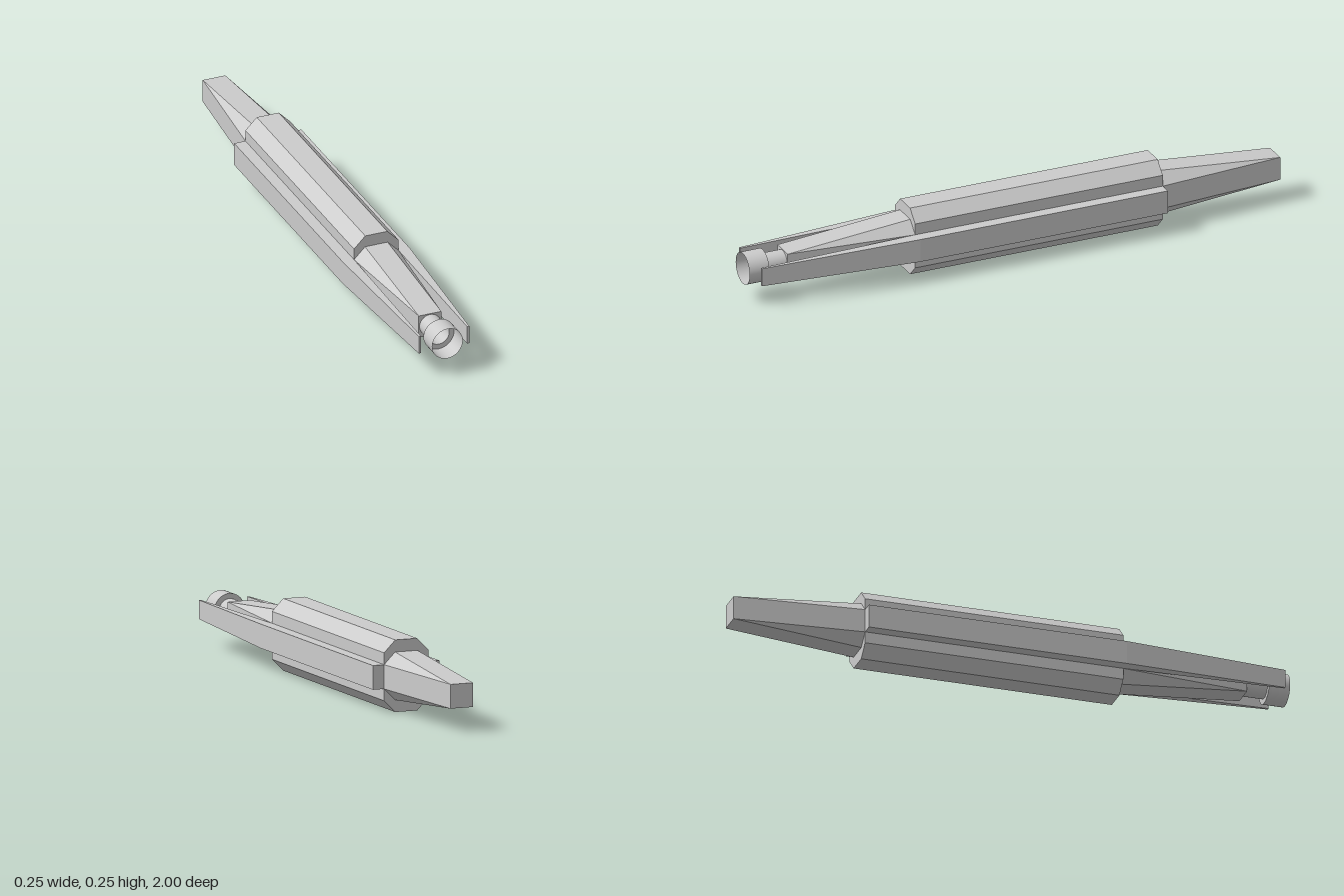
import * as THREE from 'three';
import { ConvexGeometry } from 'three/addons/geometries/ConvexGeometry.js';

const MID = 0.125;           // height of the long axis
const BACK = -0.54, FRONT = 0.39; // ends of the main body

// Corners of a rectangle section at depth z
const rect = (x0, x1, h, z) =>
  [[x0, -h], [x1, -h], [x1, h], [x0, h]].map(([x, y]) => new THREE.Vector3(x, y, z));

// Corners of a chamfered rectangle section at depth z
const octagon = (w, h, c, z) => [...rect(-w, w, h - c, z), ...rect(-(w - c), w - c, h, z)];

export function createModel() {
  const model = new THREE.Group();
  const flat = new THREE.MeshStandardMaterial({ color: 0xcccccc, flatShading: true });
  const smooth = new THREE.MeshStandardMaterial({ color: 0xcccccc, side: THREE.DoubleSide });

  // Flat-sided solid spanning a list of cross-sections
  const addSolid = (name, ...sections) => {
    const mesh = new THREE.Mesh(new ConvexGeometry(sections.flat()), flat);
    mesh.name = name;
    mesh.position.y = MID;
    model.add(mesh);
  };

  // Tall octagonal hull
  addSolid('mainBody', octagon(0.083, 0.125, 0.042, BACK), octagon(0.083, 0.125, 0.042, FRONT));

  // Tapers from an octagon to a small square at each end
  addSolid('frontTaper', octagon(0.083, 0.083, 0.041, FRONT), rect(-0.042, 0.042, 0.042, 0.85));
  addSolid('rearTaper', octagon(0.083, 0.083, 0.041, BACK), rect(-0.042, 0.042, 0.042, -1));

  // Side rails that run forward into thin prongs
  for (const s of [1, -1]) {
    addSolid(s > 0 ? 'leftRail' : 'rightRail',
      rect(s * 0.083, s * 0.125, 0.042, BACK),
      rect(s * 0.083, s * 0.125, 0.042, FRONT),
      rect(s * 0.086, s * 0.094, 0.033, 0.97));
  }

  // Thin open tubes and the ring that joins them, turned about the long axis
  const addTurned = (name, ...points) => {
    const profile = points.map(([r, z]) => new THREE.Vector2(r, z));
    const mesh = new THREE.Mesh(new THREE.LatheGeometry(profile, 40), smooth);
    mesh.name = name;
    mesh.rotation.x = Math.PI / 2;
    mesh.position.y = MID;
    model.add(mesh);
  };
  addTurned('muzzleNeck', [0.039, 0.85], [0.039, 0.925]);
  addTurned('muzzleBackRing', [0.039, 0.925], [0.057, 0.925]);
  addTurned('muzzleCup', [0.057, 0.925], [0.057, 1]);

  return model;
}
